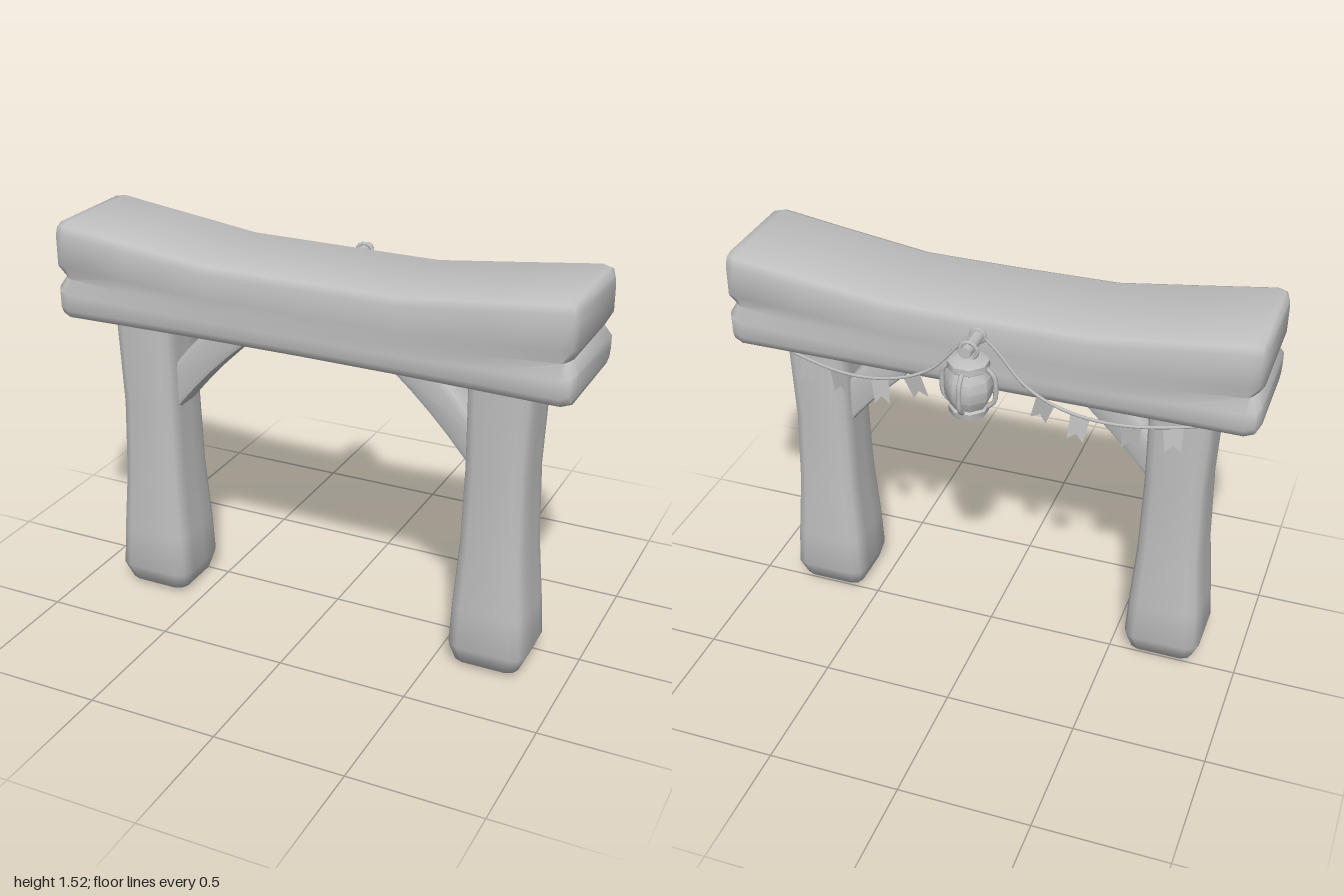
import * as THREE from 'three';
import { toCreasedNormals } from 'three/addons/utils/BufferGeometryUtils.js';

const stone = new THREE.MeshStandardMaterial({ color: 0xc0c0c0 });
stone.name = 'pale grey';
const cloth = new THREE.MeshStandardMaterial({ color: 0xc0c0c0, side: THREE.DoubleSide });
cloth.name = 'pale grey cloth';
const V = (x, y, z) => new THREE.Vector3(x, y, z);

function add(parent, name, geometry, material = stone) {
  const mesh = new THREE.Mesh(geometry, material);
  mesh.name = name;
  parent.add(mesh);
  return mesh;
}

// Rounded rectangle ring with a shallow groove halfway along both u sides
function ring(u0, u1, v0, v1, r, groove, place) {
  const vm = v0 + (v1 - v0) * 0.42, g = (v1 - v0) * 0.14;
  const half = [
    [r, v0], [0.3 * r, v0 + 0.3 * r], [0, v0 + r],
    [0, vm - g], [groove, vm], [0, vm + g],
    [0, v1 - r], [0.3 * r, v1 - 0.3 * r], [r, v1],
  ];
  const a = half.map(([i, v], k) => place(u1 - i, v, k === 4));
  const b = half.map(([i, v], k) => place(u0 + i, v, k === 4)).reverse();
  return [...a, ...b];
}

// Skin through rings, closed by strips across both ends
function loft(rings) {
  const n = rings[0].length, pts = rings.flat(), index = [];
  const quad = (a, b, c, d) => index.push(a, b, c, a, c, d);
  for (let j = 0; j < rings.length - 1; j++) {
    for (let i = 0; i < n; i++) {
      const k = (i + 1) % n;
      quad(j * n + i, (j + 1) * n + i, (j + 1) * n + k, j * n + k);
    }
  }
  const e = (rings.length - 1) * n;
  for (let i = 0; i < n / 2 - 1; i++) {
    quad(i, i + 1, n - 2 - i, n - 1 - i);
    quad(e + n - 1 - i, e + n - 2 - i, e + i + 1, e + i);
  }
  const g = new THREE.BufferGeometry().setFromPoints(pts);
  g.setIndex(index);
  return toCreasedNormals(g, 0.9);
}

function beam() {
  const xs = [-1, -0.985, -0.95, -0.7, -0.38, 0, 0.36, 0.7, 0.95, 0.985, 1];
  return loft(xs.map((x) => {
    const a = Math.abs(x), inset = a === 1 ? 0.035 : a > 0.96 ? 0.01 : 0;
    const top = 1.45 + 0.08 * Math.max(0, (a - 0.37) / 0.63);
    const front = 0.32 + 0.022 * Math.min(1, a * a * 1.2);
    const groove = a > 0.9 ? 0.025 : a > 0.6 ? 0.01 : 0.002;
    return ring(-0.122 + inset, front - inset, 1.15 + inset, top - inset, 0.04, groove,
      (u, v, mid) => V(mid && a > 0.96 ? x - Math.sign(x) * 0.022 : x, v, u));
  }));
}

// Flared post: height, inner x, outer x, back z, front z, corner radius
function post() {
  const rows = [
    [0, 0.61, 0.79, 0.02, 0.20, 0.03], [0.02, 0.577, 0.825, -0.012, 0.232, 0.04],
    [0.09, 0.555, 0.853, -0.035, 0.253, 0.045], [0.25, 0.562, 0.843, -0.031, 0.248, 0.045],
    [0.5, 0.58, 0.823, -0.018, 0.235, 0.04], [0.8, 0.588, 0.817, -0.01, 0.23, 0.04],
    [1.18, 0.588, 0.832, -0.012, 0.236, 0.04],
  ];
  return loft(rows.map(([y, x0, x1, z0, z1, r]) =>
    ring(x0 - 0.705, x1 - 0.705, z0 - 0.11, z1 - 0.11, r, 0, (u, v) => V(u, y, v))));
}

function brace() {
  const s = new THREE.Shape();
  s.moveTo(0.63, 0.745);
  s.quadraticCurveTo(0.46, 0.98, 0.2, 1.18);
  s.lineTo(0.4, 1.18);
  s.quadraticCurveTo(0.51, 1.1, 0.63, 0.94);
  const g = new THREE.ExtrudeGeometry(s, {
    depth: 0.1, bevelSize: 0.02, bevelThickness: 0.02, bevelOffset: -0.02, bevelSegments: 2, curveSegments: 6,
  });
  g.translate(0, 0, -0.05);
  return toCreasedNormals(g, 0.7);
}

function lantern() {
  const group = new THREE.Group();
  group.name = 'lantern';
  group.position.set(0, 0, -0.235);
  const profile = [
    [0, 1.14], [0.07, 1.14], [0.074, 1.165], [0.066, 1.172], [0.084, 1.21], [0.088, 1.25],
    [0.082, 1.285], [0.066, 1.315], [0.076, 1.322], [0.074, 1.345], [0.045, 1.355], [0, 1.355],
  ].map(([r, y]) => new THREE.Vector2(r, y));
  add(group, 'lanternBody', toCreasedNormals(new THREE.LatheGeometry(profile, 8, Math.PI / 8), 0.8));
  const curve = new THREE.CatmullRomCurve3(
    [V(0.066, 1.168, 0), V(0.094, 1.195, 0), V(0.1, 1.24, 0), V(0.094, 1.295, 0), V(0.066, 1.325, 0)]);
  for (let i = 0; i < 4; i++) {
    add(group, 'lanternRib', new THREE.TubeGeometry(curve, 10, 0.009, 6)).rotation.y = i * Math.PI / 2;
  }
  add(group, 'lanternRing', new THREE.TorusGeometry(0.032, 0.008, 6, 14)).position.y = 1.383;
  return group;
}

// One half of the bunting, running from the peg round the top of a post
function bunting(side) {
  const group = new THREE.Group();
  group.name = 'bunting';
  const curve = new THREE.CatmullRomCurve3([
    [0, 1.41, -0.14], [0.07, 1.34, -0.138], [0.18, 1.22, -0.142], [0.31, 1.158, -0.145],
    [0.48, 1.128, -0.135], [0.66, 1.122, -0.09], [0.83, 1.135, -0.02], [0.842, 1.14, 0.08],
  ].map(([x, y, z]) => V(x * side, y, z)));
  add(group, 'rope', new THREE.TubeGeometry(curve, 40, 0.006, 6));
  // Swallowtail flag hanging from its top edge
  const s = new THREE.Shape([[-0.036, 0], [-0.03, -0.1], [0, -0.07], [0.03, -0.1], [0.036, 0]]
    .map(([x, y]) => new THREE.Vector2(x, y)));
  const flag = new THREE.ShapeGeometry(s);
  [0.25, 0.38, 0.56, 0.7].forEach((x, i) => {
    let t = 0;
    while (t < 1 && Math.abs(curve.getPoint(t).x) < x) t += 0.005;
    const tangent = curve.getTangent(t);
    const mesh = add(group, 'flag', flag, cloth);
    mesh.position.copy(curve.getPoint(t));
    mesh.rotation.set(i % 2 ? 0.12 : -0.12, -Math.atan2(tangent.z * side, tangent.x * side),
      Math.atan2(tangent.y, Math.abs(tangent.x)) * side * 0.8, 'YXZ');
  });
  return group;
}

export function createModel() {
  const model = new THREE.Group();
  model.name = 'gateway';
  add(model, 'beam', beam());
  for (const side of [1, -1]) {
    const turn = side > 0 ? 0 : Math.PI;
    const leg = add(model, side > 0 ? 'leftPost' : 'rightPost', post());
    leg.position.set(0.705 * side, 0, 0.11);
    leg.rotation.y = turn;
    const strut = add(model, side > 0 ? 'leftBrace' : 'rightBrace', brace());
    strut.position.z = 0.11;
    strut.rotation.y = turn;
    model.add(bunting(side));
  }
  // Peg with a rope knot, carrying the lantern
  const peg = add(model, 'peg', new THREE.CylinderGeometry(0.022, 0.026, 0.18, 8));
  peg.rotation.x = -Math.PI / 2;
  peg.position.set(0, 1.39, -0.18);
  add(model, 'knot', new THREE.TorusGeometry(0.025, 0.008, 6, 14)).position.set(0, 1.39, -0.14);
  model.add(lantern());
  // Recentre on z
  model.children.forEach((part) => { part.position.z += 0; });
  return model;
}
